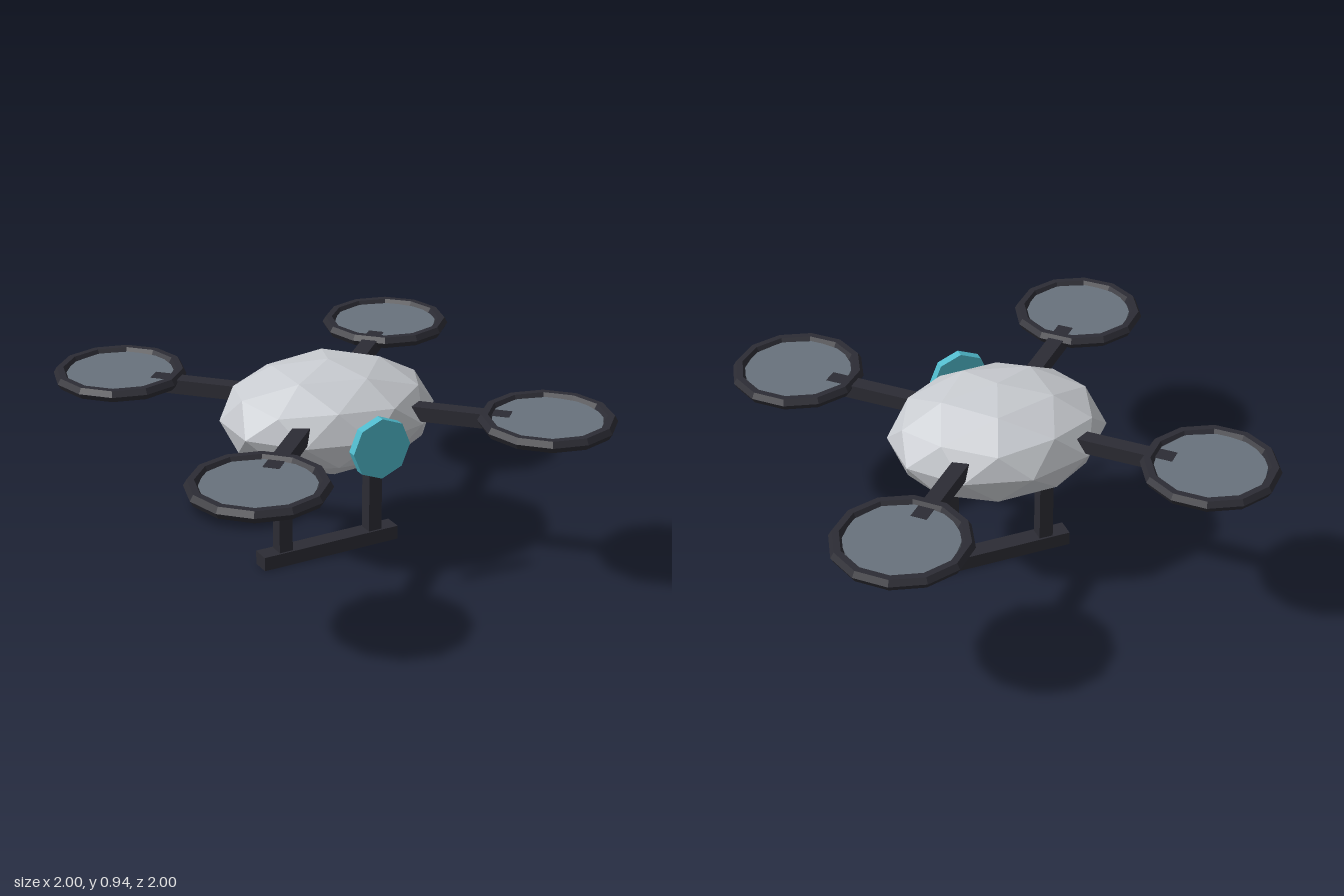
import * as THREE from 'three';

const shellGrey = new THREE.MeshStandardMaterial({ color: 0xc8cbd0 });
shellGrey.name = 'shellGrey';
const darkFrame = new THREE.MeshStandardMaterial({ color: 0x2c2c34 });
darkFrame.name = 'darkFrame';
const rotorGrey = new THREE.MeshStandardMaterial({ color: 0x68727c });
rotorGrey.name = 'rotorGrey';
const lensTeal = new THREE.MeshStandardMaterial({ color: 0x4fb9cb });
lensTeal.name = 'lensTeal';

// Faceted mesh: unshared corners give every face its own normal
function part(name, geometry, material, x = 0, y = 0, z = 0) {
  const flat = geometry.index ? geometry.toNonIndexed() : geometry;
  flat.computeVertexNormals();
  const mesh = new THREE.Mesh(flat, material);
  mesh.name = name;
  mesh.position.set(x, y, z);
  return mesh;
}

export function createModel() {
  const drone = new THREE.Group();
  drone.name = 'drone';

  // Body: icosphere with a vertex at each pole, squashed to an ellipsoid
  const shell = new THREE.IcosahedronGeometry(1, 1);
  shell.rotateX(-Math.atan((1 + Math.sqrt(5)) / 2));
  shell.rotateY(Math.PI / 2);
  shell.scale(0.497, 0.2475, 0.413);
  drone.add(part('body', shell, shellGrey, 0, 0.6975, 0));

  // Front camera lens: eight-sided disc
  const lens = new THREE.CylinderGeometry(0.138, 0.138, 0.041, 8);
  lens.rotateX(Math.PI / 2);
  drone.add(part('cameraLens', lens, lensTeal, 0, 0.6975, 0.462));

  // Four diagonal arms, each with a guard ring and a rotor disc
  for (const sx of [-1, 1]) {
    for (const sz of [-1, 1]) {
      const unit = new THREE.Group();
      unit.name = (sz > 0 ? 'front' : 'back') + (sx > 0 ? 'Left' : 'Right') + 'Rotor';

      const inner = 0.26, outer = 0.583, mid = (inner + outer) / 2;
      const arm = new THREE.BoxGeometry((outer - inner) * Math.SQRT2, 0.066, 0.073);
      arm.rotateY(-sx * sz * Math.PI / 4);
      unit.add(part('arm', arm, darkFrame, sx * mid, 0.744, sz * mid));

      const ring = new THREE.TorusGeometry(0.273, 0.03, 6, 12);
      ring.rotateX(Math.PI / 2);
      unit.add(part('guardRing', ring, darkFrame, sx * 0.697, 0.768, sz * 0.697));

      const disc = new THREE.CylinderGeometry(0.25, 0.25, 0.0165, 10);
      unit.add(part('rotorDisc', disc, rotorGrey, sx * 0.697, 0.768, sz * 0.697));
      drone.add(unit);
    }
  }

  // Landing gear: two legs on one cross bar
  for (const sx of [-1, 1]) {
    drone.add(part(sx > 0 ? 'leftLeg' : 'rightLeg',
      new THREE.BoxGeometry(0.066, 0.45, 0.066), darkFrame, sx * 0.231, 0.275, 0));
  }
  drone.add(part('landingBar', new THREE.BoxGeometry(0.69, 0.066, 0.086), darkFrame, 0, 0.033, 0));

  return drone;
}
